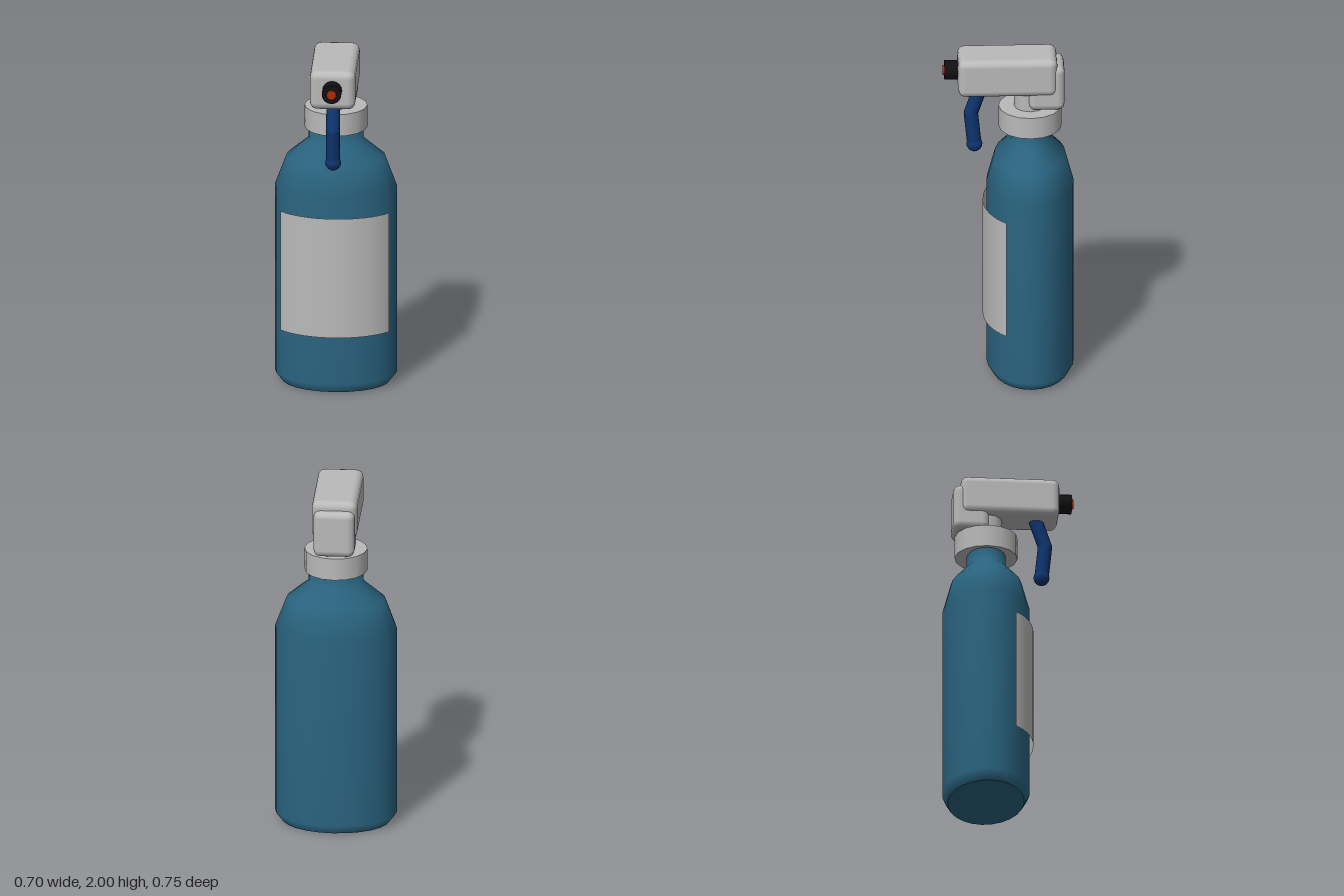
import * as THREE from 'three';
import { RoundedBoxGeometry } from 'three/addons/geometries/RoundedBoxGeometry.js';

const AXIS_Z = -0.125; // depth of the bottle's centre line

function makeMaterial(name, color, side = THREE.FrontSide) {
  const m = new THREE.MeshStandardMaterial({ color, side });
  m.name = name;
  return m;
}

export function createModel() {
  const model = new THREE.Group();
  model.name = 'sprayBottle';

  const teal = makeMaterial('bottleTeal', 0x2a6480);
  const grey = makeMaterial('plasticGrey', 0xbababa, THREE.DoubleSide);
  const navy = makeMaterial('triggerNavy', 0x0e3570);
  const black = makeMaterial('nozzleBlack', 0x111111);
  const red = makeMaterial('nozzleRed', 0xb02a0c);

  function add(name, geometry, material, x, y, z, parent = model) {
    const mesh = new THREE.Mesh(geometry, material);
    mesh.name = name;
    mesh.position.set(x, y, z);
    parent.add(mesh);
    return mesh;
  }

  // Oval bottle: one smooth lathe squashed in depth, with a flat base
  const profile = [
    [0.305, 0], [0.348, 0.055], [0.348, 1.185], [0.283, 1.36], [0.157, 1.465], [0.157, 1.56],
  ].map(([r, y]) => new THREE.Vector2(r, y));
  add('bottleBody', new THREE.LatheGeometry(profile, 24).scale(1, 1, 0.718), teal, 0, 0, AXIS_Z);
  add('bottleBase', new THREE.CircleGeometry(0.305, 24).rotateX(Math.PI / 2).scale(1, 1, 0.718),
    teal, 0, 0, AXIS_Z);

  // Label: a thin curved sheet standing just off the front
  add('label', new THREE.CylinderGeometry(0.369, 0.369, 0.72, 16, 1, true, -1, 2).scale(1, 1, 0.732),
    grey, 0, 0.705, AXIS_Z);

  // Screw collar and the stem above it
  add('collar', new THREE.CylinderGeometry(0.18, 0.18, 0.13, 16), grey, 0, 1.6, AXIS_Z);
  add('stem', new THREE.CylinderGeometry(0.092, 0.092, 0.2, 12), grey, 0, 1.72, AXIS_Z);

  // Spray head with a block at the back
  add('sprayHead', new RoundedBoxGeometry(0.26, 0.23, 0.566, 2, 0.042), grey, 0, 1.885, 0.005);
  add('headBackBlock', new RoundedBoxGeometry(0.235, 0.275, 0.206, 2, 0.04), grey, 0, 1.8125, -0.217);

  // Nozzle
  const drum = (r, length, sides) => new THREE.CylinderGeometry(r, r, length, sides).rotateX(Math.PI / 2);
  add('nozzle', drum(0.056, 0.1, 16), black, 0, 1.895, 0.315);
  add('nozzleTip', drum(0.028, 0.05, 12), red, 0, 1.895, 0.35);

  // Trigger: two straight lengths with rounded joints
  const trigger = new THREE.Group();
  trigger.name = 'trigger';
  model.add(trigger);
  const path = [[1.82, 0.146], [1.62, 0.213], [1.425, 0.193]]
    .map(([y, z]) => new THREE.Vector3(0, y, z));
  const up = new THREE.Vector3(0, 1, 0);
  for (let i = 0; i < 2; i++) {
    const dir = path[i].clone().sub(path[i + 1]);
    const mid = path[i].clone().add(path[i + 1]).multiplyScalar(0.5);
    const rod = add('triggerRod', new THREE.CylinderGeometry(0.041, 0.041, dir.length(), 10),
      navy, 0, mid.y, mid.z, trigger);
    rod.quaternion.setFromUnitVectors(up, dir.normalize());
  }
  add('triggerBend', new THREE.SphereGeometry(0.041, 10, 8), navy, 0, path[1].y, path[1].z, trigger);
  add('triggerEnd', new THREE.SphereGeometry(0.046, 12, 8), navy, 0, path[2].y, path[2].z, trigger);

  return model;
}
